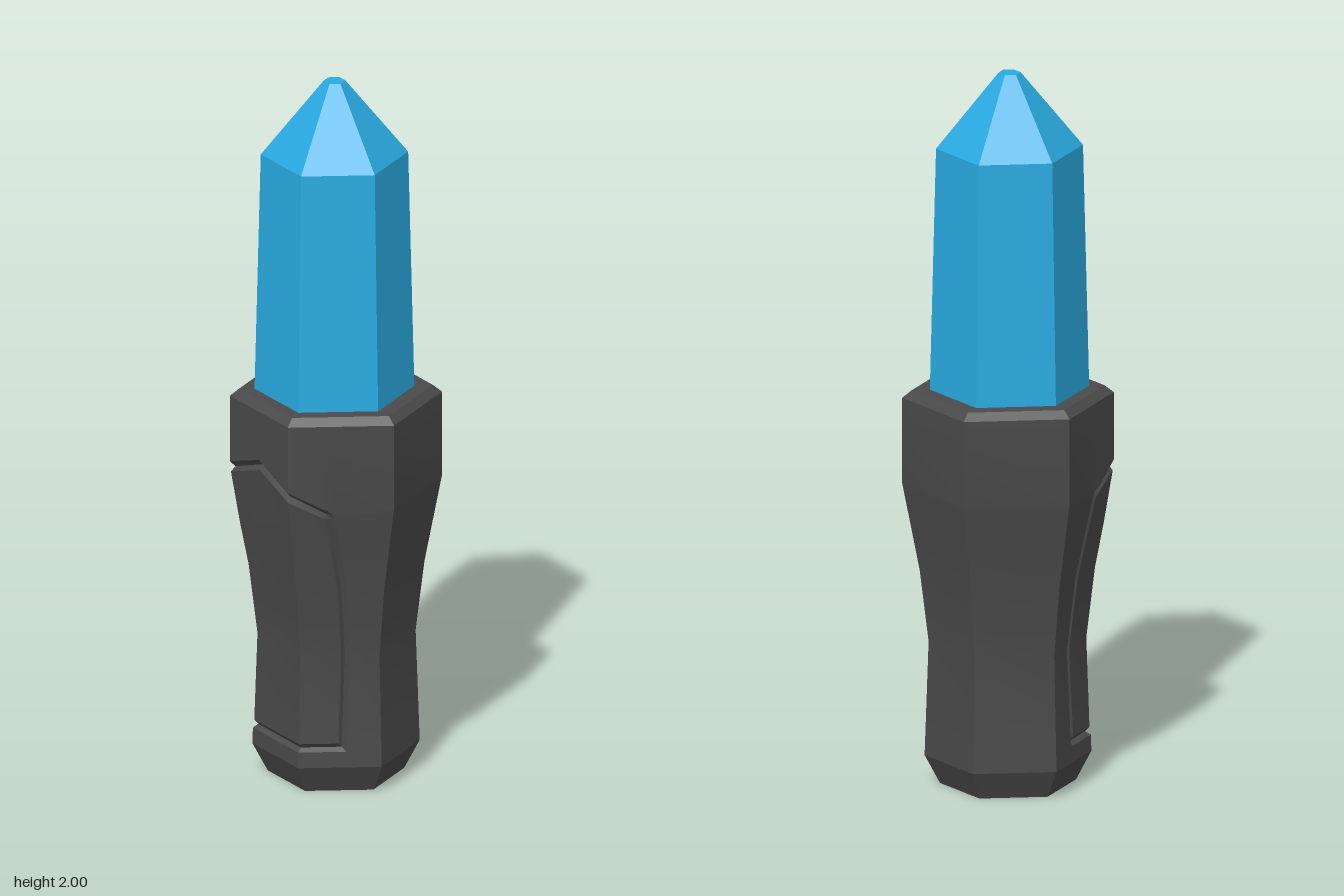
import * as THREE from 'three';
import { toCreasedNormals } from 'three/addons/utils/BufferGeometryUtils.js';

// piecewise-linear lookup in [y, value] pairs
function lookup(table, y) {
  if (y <= table[0][0]) return table[0][1];
  for (let i = 1; i < table.length; i++) {
    const [y0, v0] = table[i - 1], [y1, v1] = table[i];
    if (y <= y1) return v0 + (v1 - v0) * (y - y0) / (y1 - y0);
  }
  return table[table.length - 1][1];
}

// corner radius of the hexagonal handle by height
const RADIUS = [[0, 0.185], [0.08, 0.227], [0.4, 0.216], [0.6, 0.24], [0.85, 0.288], [1.09, 0.288], [1.11, 0.263]];
// where the grip panel's side border lies along a face (0 = front corner, 1 = next corner)
const BORDER = [[0.14, 0.42], [0.4, 0.38], [0.6, 0.43], [0.84, 0.57]];

// point on the hexagon; s counts corners from +z round by -x
function hexPoint(s, r, y) {
  const k = Math.floor(s), t = s - k;
  const corner = (n) => [-Math.sin(n * Math.PI / 3) * r, Math.cos(n * Math.PI / 3) * r];
  const [ax, az] = corner(k), [bx, bz] = corner(k + 1);
  return [ax + (bx - ax) * t, y, az + (bz - az) * t];
}

// columns round the handle: top = height of the panel's upper edge there
const half = [
  { s: () => 0, top: 0.85, zone: 'body' },
  { s: (f) => f, top: 0.84, zone: 'body' },
  { s: (f) => f + 0.05, top: 0.845, zone: 'groove' },
  { s: (f) => f + 0.1, top: 0.85, zone: 'panel' },
  { s: () => 1, top: 0.9, zone: 'panel' },
];
const columns = [
  ...half,
  { s: () => 1.5, top: 0.95, zone: 'panel' },
  ...half.slice().reverse().map((c) => ({ ...c, s: (f) => 3 - c.s(f) })),
  { s: () => 4, top: 0.85, zone: 'body' },
  { s: () => 5, top: 0.85, zone: 'body' },
];

// rows from bottom to top; "drop" rows follow the panel's upper edge
const rows = [
  { y: 0, zone: 'body' }, { y: 0.08, zone: 'body' },
  { y: 0.125, zone: 'body' }, { y: 0.135, zone: 'groove' }, { y: 0.148, zone: 'panel' },
  { y: 0.4, zone: 'panel' }, { y: 0.5, zone: 'panel' }, { y: 0.6, zone: 'panel' }, { y: 0.72, zone: 'panel' },
  { drop: 0.03, zone: 'panel' }, { drop: 0.015, zone: 'groove' }, { drop: 0, zone: 'body' },
  { y: 1.09, zone: 'body' }, { y: 1.11, zone: 'body' },
];

function depth(row, col) {
  if (row.zone === 'body' || col.zone === 'body') return 0;
  return row.zone === 'groove' || col.zone === 'groove' ? 0.015 : 0.003;
}

function handleGeometry() {
  const positions = [], index = [], n = columns.length;
  for (const row of rows) {
    for (const col of columns) {
      const y = row.y ?? col.top - row.drop;
      positions.push(...hexPoint(col.s(lookup(BORDER, y)), lookup(RADIUS, y) - depth(row, col), y));
    }
  }
  for (let i = 0; i < rows.length - 1; i++) {
    for (let j = 0; j < n; j++) {
      const a = i * n + j, b = i * n + (j + 1) % n;
      index.push(a, a + n, b + n, a, b + n, b);
    }
  }
  // end caps
  const bottom = positions.length / 3, top = bottom + 1, last = (rows.length - 1) * n;
  positions.push(0, 0, 0, 0, 1.11, 0);
  for (let j = 0; j < n; j++) {
    const k = (j + 1) % n;
    index.push(bottom, j, k, top, last + k, last + j);
  }
  const geometry = new THREE.BufferGeometry();
  geometry.setAttribute('position', new THREE.Float32BufferAttribute(positions, 3));
  geometry.setIndex(index);
  return toCreasedNormals(geometry, 0.45);
}

export function createModel() {
  const group = new THREE.Group();

  // hexagonal handle with an inlaid grip panel on its -x side
  const handle = new THREE.Mesh(handleGeometry(), new THREE.MeshStandardMaterial({ color: 0x4a4a4a }));
  handle.name = 'handle';

  // six-sided crystal with a blunt tip
  const profile = [[0, 1.1], [0.217, 1.1], [0.2, 1.79], [0.03, 2], [0, 2]].map(([r, y]) => new THREE.Vector2(r, y));
  const crystal = new THREE.Mesh(
    new THREE.LatheGeometry(profile, 6),
    new THREE.MeshStandardMaterial({ color: 0x29abe2, flatShading: true }),
  );
  crystal.name = 'crystal';
  crystal.position.x = -0.005;

  group.add(handle, crystal);
  return group;
}
